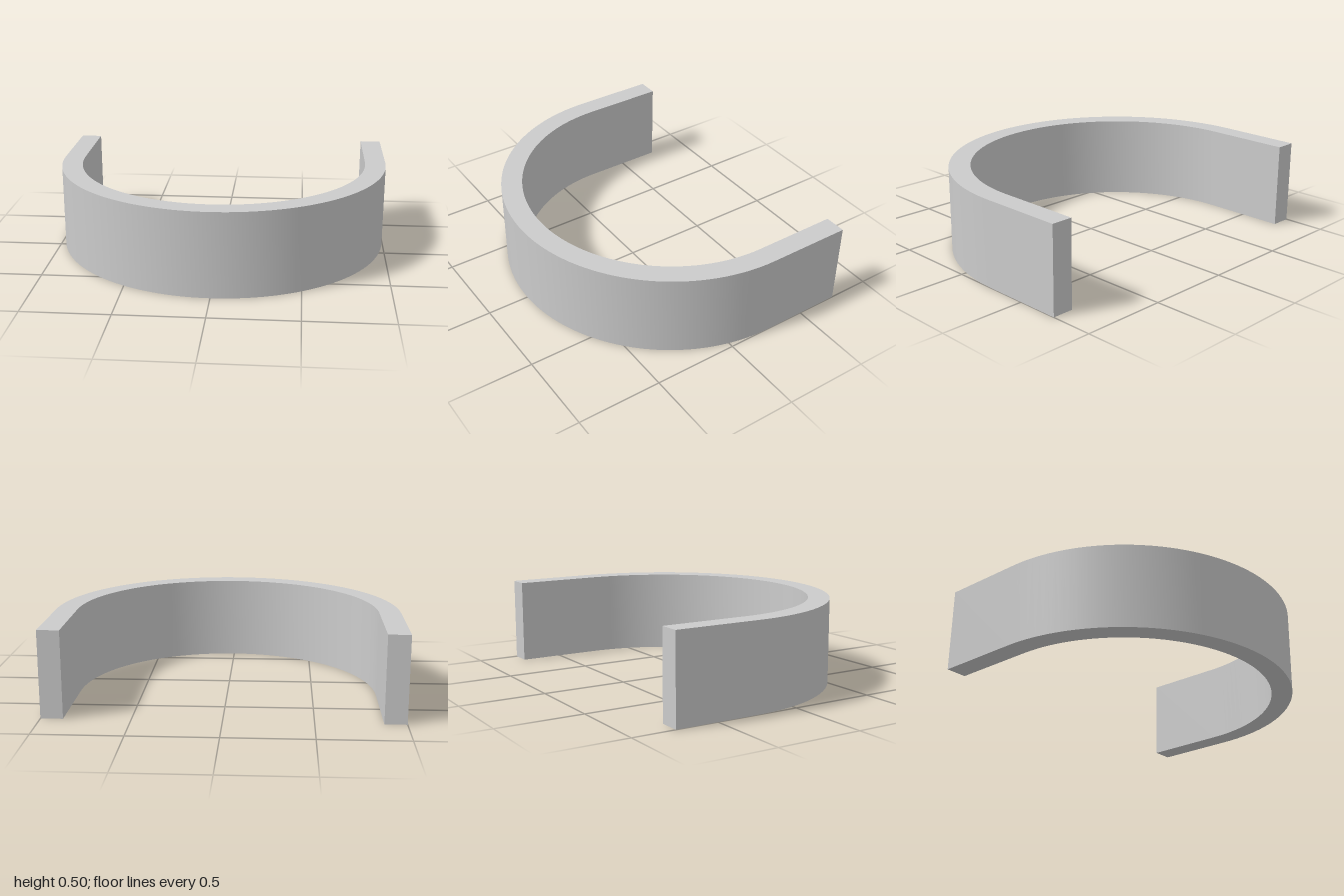
import * as THREE from 'three';
import { toCreasedNormals } from 'three/addons/utils/BufferGeometryUtils.js';

const OUTER = 1, INNER = 0.875; // radii of the bend
const HEIGHT = 0.5;
const BACK = -0.75, BEND = -0.25; // z of the arm ends and of the bend's centre

export function createModel() {
  const group = new THREE.Group();
  group.name = 'uShapedBand';

  // Plan outline drawn in (x, z): two straight arms joined by a half ring
  const plan = new THREE.Shape();
  plan.moveTo(OUTER, BACK);
  plan.lineTo(OUTER, BEND);
  plan.absarc(0, BEND, OUTER, 0, Math.PI, false);
  plan.lineTo(-OUTER, BACK);
  plan.lineTo(-INNER, BACK);
  plan.lineTo(-INNER, BEND);
  plan.absarc(0, BEND, INNER, Math.PI, 0, true);
  plan.lineTo(INNER, BACK);
  plan.closePath();

  // Extrude, then lay flat so the band stands on the ground
  const solid = new THREE.ExtrudeGeometry(plan, { depth: HEIGHT, bevelEnabled: false, curveSegments: 32 });
  solid.rotateX(Math.PI / 2);
  solid.translate(0, HEIGHT, 0);

  const band = new THREE.Mesh(
    toCreasedNormals(solid, Math.PI / 6),
    new THREE.MeshStandardMaterial({ color: 0xcccccc })
  );
  band.name = 'band';
  group.add(band);
  return group;
}
